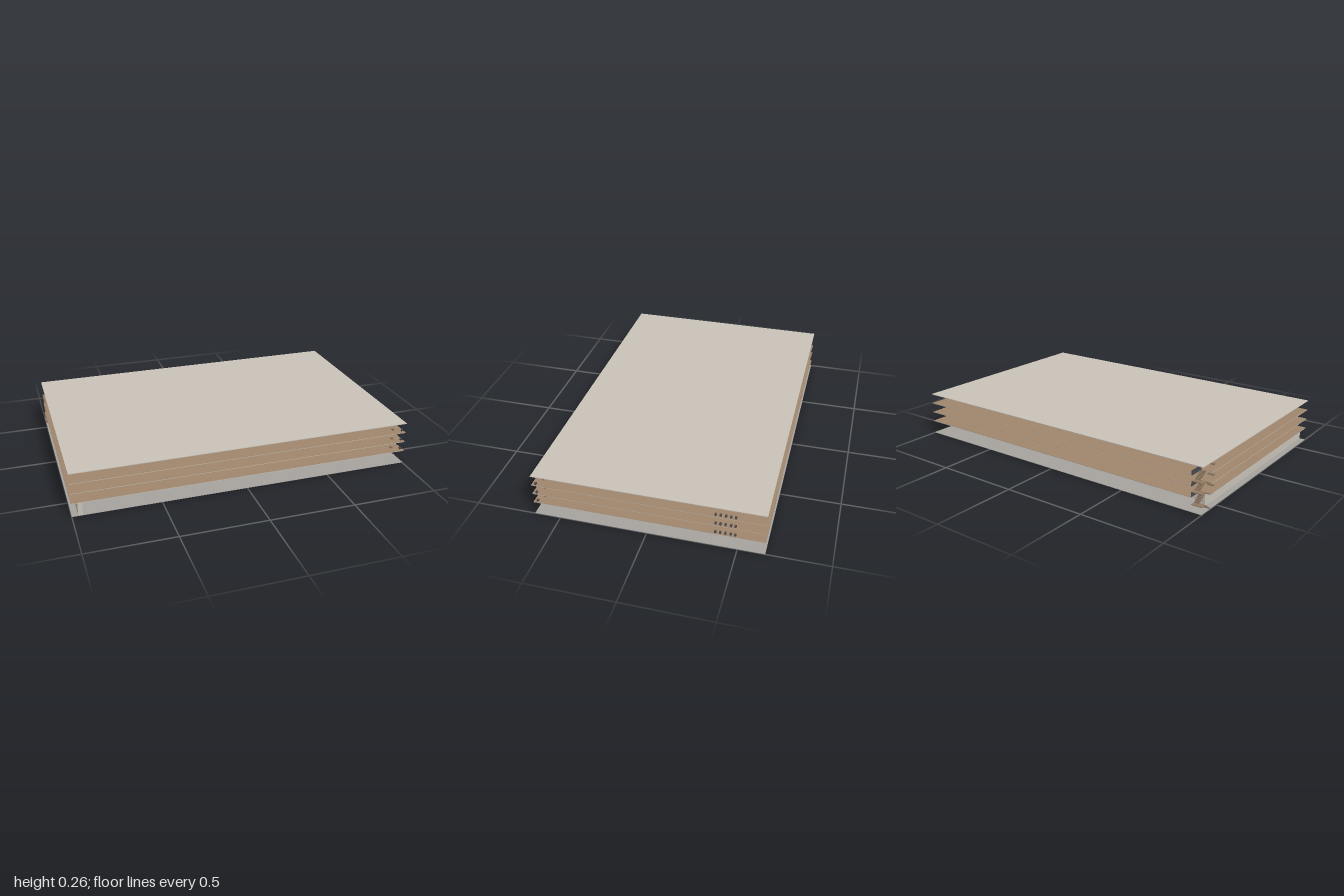
import * as THREE from 'three';

const mat = (name, color) => {
  const m = new THREE.MeshStandardMaterial({ color });
  m.name = name;
  return m;
};

export function createModel() {
  const concrete = mat('concrete', 0xc8c2b8);
  const ground = mat('groundGrey', 0xa6a39f);
  const wood = mat('woodFloor', 0xa0866c);
  const furnitureWood = mat('furnitureWood', 0x8f7862);
  const dark = mat('darkMetal', 0x4a4850);

  const model = new THREE.Group();
  model.name = 'building';

  // Box given by its lower and upper corner
  const box = (parent, name, material, [x0, y0, z0], [x1, y1, z1]) => {
    const mesh = new THREE.Mesh(new THREE.BoxGeometry(x1 - x0, y1 - y0, z1 - z0), material);
    mesh.position.set((x0 + x1) / 2, (y0 + y1) / 2, (z0 + z1) / 2);
    mesh.name = name;
    parent.add(mesh);
    return mesh;
  };

  const W = 1, D = 0.65;
  const wellX = -0.935, wellZ = -0.555; // stairwell corner
  const floors = [0.084, 0.144, 0.204]; // finished floor heights

  // Horizontal plate with a notch for the stairwell
  const notchedPlate = (parent, name, material, y, thickness) => {
    const s = new THREE.Shape();
    s.moveTo(-W, -D);
    s.lineTo(W, -D);
    s.lineTo(W, D);
    s.lineTo(wellX, D);
    s.lineTo(wellX, -wellZ);
    s.lineTo(-W, -wellZ);
    s.closePath();
    const g = new THREE.ExtrudeGeometry(s, { depth: thickness, bevelEnabled: false });
    g.rotateX(-Math.PI / 2);
    const mesh = new THREE.Mesh(g, material);
    mesh.position.y = y;
    mesh.name = name;
    parent.add(mesh);
  };

  // Ground slab and roof
  box(model, 'groundSlab', ground, [-W, 0, -D], [W, 0.003, D]);
  box(model, 'roof', concrete, [-W, 0.26, -D], [W, 0.264, D]);

  // Ground floor walls, the back one with a doorway
  box(model, 'sideWall', concrete, [-0.965, 0.003, wellZ], [-0.94, 0.08, D]);
  const wall = new THREE.Shape();
  [[-0.94, 0.003], [-0.372, 0.003], [-0.372, 0.055], [-0.35, 0.055], [-0.35, 0.003],
    [W, 0.003], [W, 0.08], [-0.94, 0.08]].forEach(([x, y], i) => (i ? wall.lineTo(x, y) : wall.moveTo(x, y)));
  const backWall = new THREE.Mesh(
    new THREE.ExtrudeGeometry(wall, { depth: 0.012, bevelEnabled: false }), concrete);
  backWall.position.z = -0.505;
  backWall.name = 'backWall';
  model.add(backWall);

  // Small table or seat: a top on two side panels
  const furniture = (parent, name, material, x, y, z, w, d, h) => {
    const item = new THREE.Group();
    item.name = name;
    item.position.set(x, y, z);
    box(item, 'top', material, [-w / 2, h - 0.003, -d / 2], [w / 2, h, d / 2]);
    for (const s of [-1, 1]) {
      const x0 = s * (w / 2 - 0.001);
      box(item, 'sidePanel', material, [x0 - 0.001, 0, -d / 2], [x0 + 0.001, h - 0.003, d / 2]);
    }
    box(item, 'backPanel', material, [-w / 2, 0, -0.001], [w / 2, h - 0.003, 0.001]);
    parent.add(item);
  };

  // Upper floors with their furniture and stair guard
  floors.forEach((y, i) => {
    const storey = new THREE.Group();
    storey.name = `upperFloor${i + 1}`;
    notchedPlate(storey, 'slab', concrete, y - 0.004, 0.003);
    notchedPlate(storey, 'floorFinish', wood, y - 0.001, 0.001);
    for (let k = 0; k < 6; k++) {
      furniture(storey, 'desk', furnitureWood, -0.947 + k * 0.0866, y, -0.47, 0.035, 0.016, 0.01);
    }
    for (const z of [-0.378, -0.404, -0.432, -0.46, -0.485]) {
      furniture(storey, 'seat', dark, 0.988, y, z, 0.012, 0.011, 0.011);
    }
    furniture(storey, 'seat', dark, 0.988, y, 0.628, 0.012, 0.011, 0.011);
    furniture(storey, 'sideTable', furnitureWood, 0.941, y, 0.602, 0.012, 0.012, 0.011);
    box(storey, 'stairGuard', dark, [wellX - 0.002, y - 0.002, -D], [wellX, y + 0.026, wellZ]);
    model.add(storey);
  });

  // Ground floor seats
  for (const [x, z] of [[-0.61, -0.155], [-0.55, -0.04], [-0.49, -0.112], [0.445, 0.4]]) {
    furniture(model, 'groundSeat', dark, x, 0.003, z, 0.014, 0.013, 0.01);
  }

  // Half-turn stairs: out along the outer side, back along the inner side
  const levels = [0.003, ...floors];
  const steps = 8;
  for (let i = 0; i < 3; i++) {
    const stair = new THREE.Group();
    stair.name = `stair${i + 1}`;
    const y0 = levels[i], half = (levels[i + 1] - y0) / 2;
    const rise = half / steps, run = 0.06 / steps;
    for (let k = 0; k < steps; k++) {
      const za = wellZ - 0.005 - k * run, zb = -0.62 + k * run;
      const ya = y0 + (k + 1) * rise, yb = ya + half;
      box(stair, 'step', furnitureWood, [-W, ya - rise - 0.001, za - run], [-0.97, ya, za]);
      box(stair, 'step', furnitureWood, [-0.968, yb - rise - 0.001, zb], [-0.938, yb, zb + run]);
    }
    box(stair, 'landing', furnitureWood, [-W, y0 + half - 0.003, -D], [-0.938, y0 + half, -0.62]);
    model.add(stair);
  }

  return model;
}
